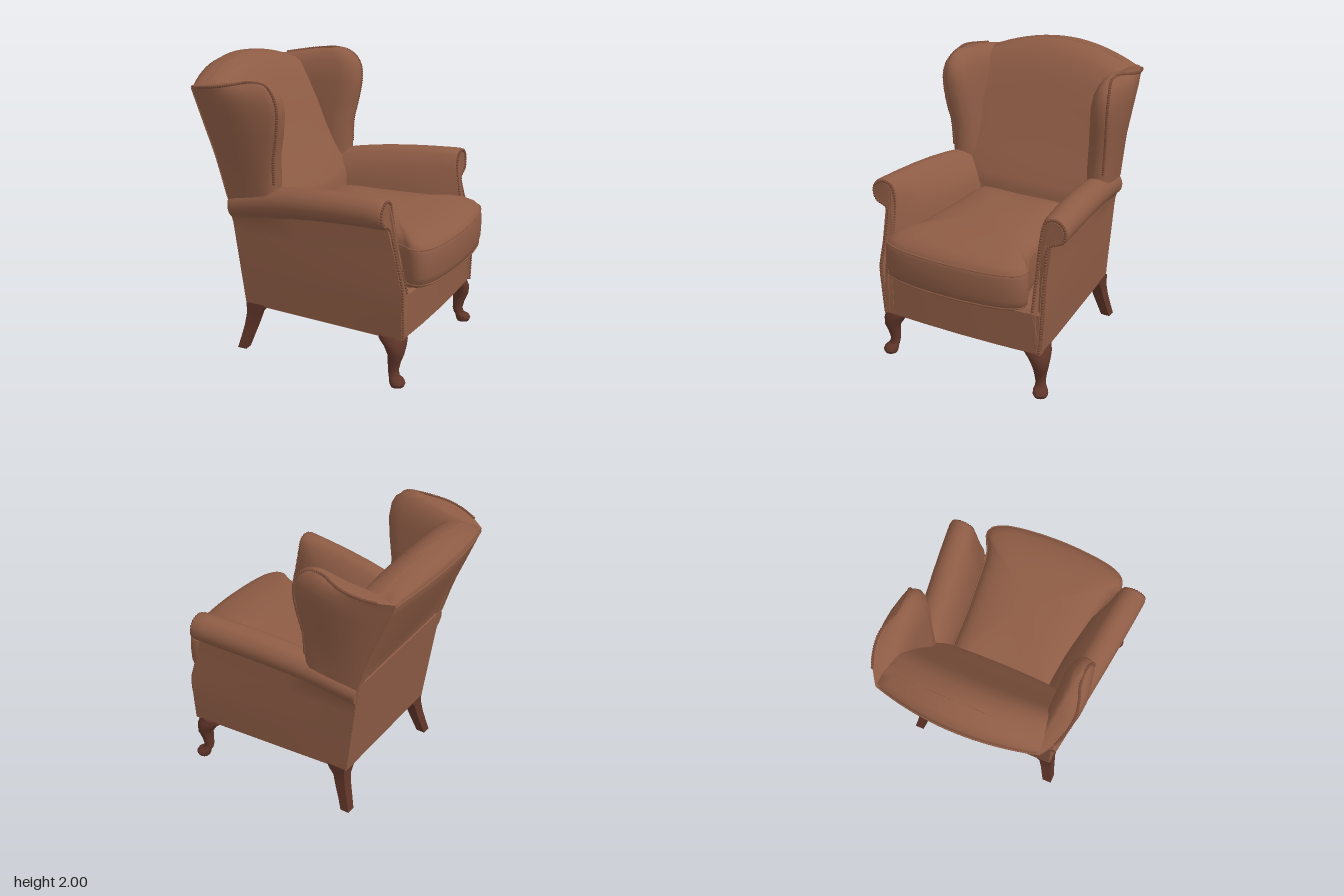
import * as THREE from 'three';
import { mergeGeometries, toCreasedNormals } from 'three/addons/utils/BufferGeometryUtils.js';

const { lerp, clamp } = THREE.MathUtils;

// Piecewise linear lookup in [[key, value], ...]
function tab(k, t) {
  if (k <= t[0][0]) return t[0][1];
  for (let i = 1; i < t.length; i++) {
    const [a, va] = t[i - 1], [b, vb] = t[i];
    if (k <= b) return lerp(va, vb, (k - a) / (b - a));
  }
  return t[t.length - 1][1];
}

// Skins closed loops of [x, y, z] points and caps both ends, always facing outward
function loft(rows, axis = 2, crease = 0.7) {
  const n = rows[0].length, p = rows.flat(), idx = [];
  for (let i = 0; i < rows.length - 1; i++) for (let j = 0; j < n; j++) {
    const a = i * n + j, b = i * n + (j + 1) % n;
    idx.push(a, b, b + n, a, b + n, a + n);
  }
  [[0, true], [rows.length - 1, false]].forEach(([r, flip]) => {
    const c = rows[r].map(q => new THREE.Vector2(q[0], q[axis]));
    const up = THREE.ShapeUtils.area(c) > 0;
    for (const [a, b, d] of THREE.ShapeUtils.triangulateShape(c, [])) {
      const ccw = THREE.ShapeUtils.area([c[a], c[b], c[d]]) > 0;
      const o = r * n;
      if ((ccw === up) !== flip) idx.push(o + a, o + b, o + d);
      else idx.push(o + a, o + d, o + b);
    }
  });
  const v = p.map(q => new THREE.Vector3(...q));
  let vol = 0;
  for (let i = 0; i < idx.length; i += 3)
    vol += v[idx[i]].dot(v[idx[i + 1]].clone().cross(v[idx[i + 2]]));
  if (vol < 0) idx.reverse();
  const g = new THREE.BufferGeometry().setFromPoints(v);
  g.setIndex(idx);
  return toCreasedNormals(g, crease);
}

const curve = (pts, closed = false) =>
  new THREE.CatmullRomCurve3(pts.map(q => new THREE.Vector3(...q)), closed, 'centripetal');

// Row of nail heads along a path
function nails(pts, count) {
  return mergeGeometries(curve(pts).getSpacedPoints(count).map(q =>
    new THREE.SphereGeometry(0.011, 7, 5).translate(q.x, q.y, q.z)));
}

// Rear face and arm front face, as depth by height
const rear = y => tab(y, [[0.34, -0.49], [1.12, -0.595], [1.4, -0.68], [1.87, -0.86]]);
const armFront = y => tab(y, [[0.34, 0.74], [0.7, 0.74], [0.85, 0.705], [1.05, 0.645], [1.2, 0.63]]);

// Arm cross-section: outer wall, rolled top, sloping inside; d insets it
function armSection(t, s, d = 0, k = 1) {
  const cx = lerp(0.65, 0.5, t), cy = 1.208 - 0.05 * t - 0.11 * t ** 3;
  const r = (lerp(0.1, 0.085, t) + 0.05 * t * (1 - t)) * k - d;
  const xi = tab(t, [[0, 0.54], [0.18, 0.45], [0.5, 0.39], [1, 0.34]]) + 0.1 * s * t * (1 - t) + d;
  const wall = [[0.62, 0.34], [0.635, 0.52], [0.645, 0.7], [0.635, 0.88]];
  const back = [0.52, 0.526, 0.532, 0.537];
  const pts = wall.map(([x, y], i) => [lerp(x, back[i], t) - d, y]);
  pts.push([lerp(0.638, 0.54, t) - d, cy - 0.11]);
  for (let a = -55; a <= 140; a += 15) {
    const q = a * Math.PI / 180;
    pts.push([cx + r * Math.cos(q), cy + r * Math.sin(q)]);
  }
  const yi = lerp(1, 1.03, Math.min(1, t * 4));
  pts.push([lerp(cx - r * 0.9, xi, 0.5), cy - 0.02], [xi, yi], [xi, 0.66], [xi, 0.34]);
  return pts.map(([x, y]) => [s * x, y, lerp(armFront(y), rear(Math.min(y, 1.12)), t)]);
}

// Wing rows: height, front depth, outer x, thickness factor
const WING = [[1.08, -0.19, 0.615, 1], [1.28, -0.19, 0.62, 1], [1.45, -0.185, 0.63, 1],
  [1.6, -0.155, 0.648, 1], [1.75, -0.136, 0.66, 1], [1.84, -0.145, 0.662, 0.92],
  [1.9, -0.175, 0.655, 0.76], [1.945, -0.23, 0.64, 0.55], [1.97, -0.3, 0.625, 0.32]];
const wingDrop = (y, z) => y - 0.1 * ((y - 1.08) / 0.89) * clamp((-0.3 - z) / 0.55, 0, 1);

function wingSection([y, zf, xo, k], s) {
  const zb = rear(y - 0.1 * (y - 1.08) / 0.89), xb = 0.56, w = 0.175 * k;
  // Outer face swells sideways toward the top
  const swell = clamp((y - 1.15) / 0.7, 0, 1);
  const side = [[0.2, 0.052], [0.35, 0.07], [0.5, 0.077], [0.65, 0.07], [0.8, 0.045]].map(([f, b]) =>
    [lerp(xb, xo, f) + b * swell, lerp(zb, zf - 0.07, f)]);
  return [[xb, zb], ...side, [xo, zf - 0.07], [xo - 0.08 * w, zf - 0.035],
    [xo - 0.25 * w, zf - 0.008], [xo - 0.5 * w, zf], [xo - 0.75 * w, zf - 0.02], [xo - 0.95 * w, zf - 0.07],
    [xo - w, zf - 0.13], [xo - w, zf - 0.24], [lerp(xb - 0.09 * k, xo - w, 0.4), lerp(zb, zf, 0.35)],
    [xb - 0.09 * k, zb + 0.1], [xb - 0.08 * k, zb]]
    .map(([x, z]) => [s * x, wingDrop(y, z), z]);
}

// Back rows: height, front depth, rear depth, half width, lift at the middle, rear bow
const BACK = [[0.6, -0.19, -0.52, 0.52, 0, 0], [1.05, -0.17, -0.575, 0.53, 0, 0], [1.12, -0.2, -0.585, 0.545, 0, 0],
  [1.28, -0.285, -0.64, 0.545, 0, 0.02], [1.4, -0.345, -0.68, 0.545, 0, 0.037], [1.6, -0.44, -0.757, 0.55, 0.01, 0.064],
  [1.75, -0.52, -0.814, 0.555, 0.035, 0.084], [1.845, -0.59, -0.852, 0.56, 0.07, 0.097], [1.87, -0.64, -0.845, 0.555, 0.09, 0.092],
  [1.883, -0.69, -0.815, 0.55, 0.106, 0.07], [1.889, -0.73, -0.78, 0.545, 0.111, 0.048], [1.89, -0.755, -0.76, 0.54, 0.112, 0.031]];

function backSection([y, zf, zr, b, lift, bow]) {
  const pts = [], front = 0.02 - 0.05 * clamp((y - 1.12) / 0.75, 0, 1);
  const add = (u, z, dz) => { const m = 1 - u * u; pts.push([u * b, y + lift * m, z + dz * m]); };
  for (let i = -8; i <= 8; i++) add(i / 8, zf, front);
  for (let i = 8; i >= -8; i--) add(i / 8, zr, -bow);
  return pts;
}

// Leg from rows of height, x, z, radius
function leg(rows, s, sides) {
  return loft(rows.map(([y, x, z, r]) => Array.from({ length: sides }, (_, i) => {
    const a = (i + 0.5) / sides * Math.PI * 2;
    return [s * (x + r * Math.cos(a)), y, z + r * Math.sin(a)];
  })));
}

export function createModel() {
  const leather = new THREE.MeshStandardMaterial({ color: 0x8e5c45 });
  const wood = new THREE.MeshStandardMaterial({ color: 0x5f3529 });
  const stud = new THREE.MeshStandardMaterial({ color: 0x7a4c39 });
  leather.name = 'leather'; wood.name = 'dark wood'; stud.name = 'nail heads';
  const chair = new THREE.Group();
  chair.name = 'wingArmchair';
  const add = (name, geo, mat = leather) => {
    const m = new THREE.Mesh(geo, mat);
    m.name = name;
    chair.add(m);
  };

  // Seat base, wider at the front and gently bowed
  add('seatBase', loft([[0.335, 0], [0.63, 0], [0.65, -0.02]].map(([y, d]) =>
    [[-0.515, -0.488], [0.515, -0.488], [0.615, 0.735], [0.3, 0.75], [0, 0.755], [-0.3, 0.75], [-0.615, 0.735]]
      .map(([x, z]) => [x, y, z > 0 ? z + d : z - 0.12 * (y - 0.335)]))));
  add('lowerBack', loft([0.335, 0.7, 1.12].map(y => [[-1, 0], [1, 0], [1, 0.25], [-1, 0.25]]
    .map(([x, z]) => [x * lerp(0.52, 0.54, (y - 0.335) / 0.785), y, rear(y) - 0.003 + z]))));

  // Reclined back with an arched crest, and the seams across its rear
  add('back', loft(BACK.map(backSection), 2, 0.9));
  add('backSeam', new THREE.TubeGeometry(curve([[-0.54, 1.12, -0.595], [0, 1.125, -0.597], [0.54, 1.12, -0.595]]), 12, 0.008, 6));
  add('backTopPiping', new THREE.TubeGeometry(curve(backSection(BACK[7]).slice(17)), 24, 0.006, 6));

  // Loose cushion with corners spreading in front of the arms
  const half = [[0.3, 0.905], [0.45, 0.87], [0.52, 0.82], [0.53, 0.76], [0.49, 0.69], [0.455, 0.58],
    [0.435, 0.4], [0.405, 0.1], [0.385, -0.18], [0.35, -0.24]];
  const rim = [[0, 0.925], ...half, [0, -0.24], ...half.map(([x, z]) => [-x, z]).reverse()].map(([x, z]) => [x, 0, z]);
  const outline = curve(rim, true).getPoints(72).slice(0, -1);
  const ring = ([y, k]) => outline.map(q => [q.x * k, y, 0.33 + (q.z - 0.33) * k]);
  add('seatCushion', loft([[0.645, 0.82], [0.675, 0.93], [0.705, 0.985], [0.76, 1.005], [0.85, 1.01], [0.92, 1.005],
    [0.95, 0.995], [0.985, 0.95], [1.012, 0.87], [1.035, 0.74], [1.05, 0.55], [1.057, 0.3], [1.059, 0.05]].map(ring)));
  [[0.95, 0.995], [0.705, 0.983]].forEach(r =>
    add('cushionPiping', new THREE.TubeGeometry(curve(ring(r), true), 90, 0.007, 6, true)));

  for (const s of [1, -1]) {
    const side = s > 0 ? 'left' : 'right';

    // Rolled arm with its studded front panel
    const stations = [[0, 0.94], [0.012, 1], [0.08, 1], [0.18, 1], [0.32, 1], [0.46, 1], [0.6, 1], [0.72, 1], [0.84, 1], [0.93, 1], [1, 1]];
    add(side + 'Arm', loft(stations.map(([t, k]) => armSection(t, s, 0, k)), 1));
    const edge = armSection(0, s, 0.016).map(([x, y, z]) => [x, y, z + 0.004]);
    add(side + 'ArmNails', nails(edge.slice(0, -1), 92), stud);
    const panel = armSection(0, s, 0.032);
    add(side + 'ArmPanel', loft([-0.004, 0.006].map(d => panel.map(([x, y, z]) => [x, y, z + d])), 1));

    // Padded wing with studs up its front edge and over the top
    add(side + 'Wing', loft(WING.map(r => wingSection(r, s)), 2, 0.9));
    const trim = WING.slice(1, 8).map(([y, zf, xo]) => [s * (xo - 0.022), wingDrop(y, zf), zf - 0.022]);
    trim.push(...wingSection(WING[8], s).slice(1, 7).reverse());
    add(side + 'WingNails', nails(trim, 74), stud);
    // Piping down the rear corner
    add(side + 'BackPiping', new THREE.TubeGeometry(
      curve([1.12, 1.4, 1.6, 1.86].map(y => [s * 0.556, y, rear(y)])), 12, 0.008, 6));

    // Curved front leg and splayed rear leg
    add(side + 'FrontLeg', leg([[0.35, 0.535, 0.635, 0.098], [0.315, 0.55, 0.65, 0.096], [0.28, 0.575, 0.675, 0.077],
      [0.22, 0.59, 0.687, 0.056], [0.16, 0.585, 0.675, 0.044], [0.1, 0.582, 0.668, 0.036], [0.065, 0.588, 0.677, 0.038],
      [0.045, 0.598, 0.7, 0.05], [0.022, 0.602, 0.707, 0.054], [0, 0.602, 0.706, 0.045]], s, 14), wood);
    add(side + 'RearLeg', leg([[0.35, 0.462, -0.415, 0.1], [0.31, 0.472, -0.425, 0.085], [0.27, 0.485, -0.44, 0.064],
      [0.18, 0.5, -0.46, 0.056], [0.08, 0.517, -0.49, 0.05], [0.005, 0.532, -0.512, 0.047]], s, 4), wood);
  }

  // The chair stands turned toward its left
  chair.rotation.y = 0.4276;
  chair.position.set(-0.032, 0, 0.0145);
  const model = new THREE.Group();
  model.name = 'armchair';
  model.add(chair);
  return model;
}
